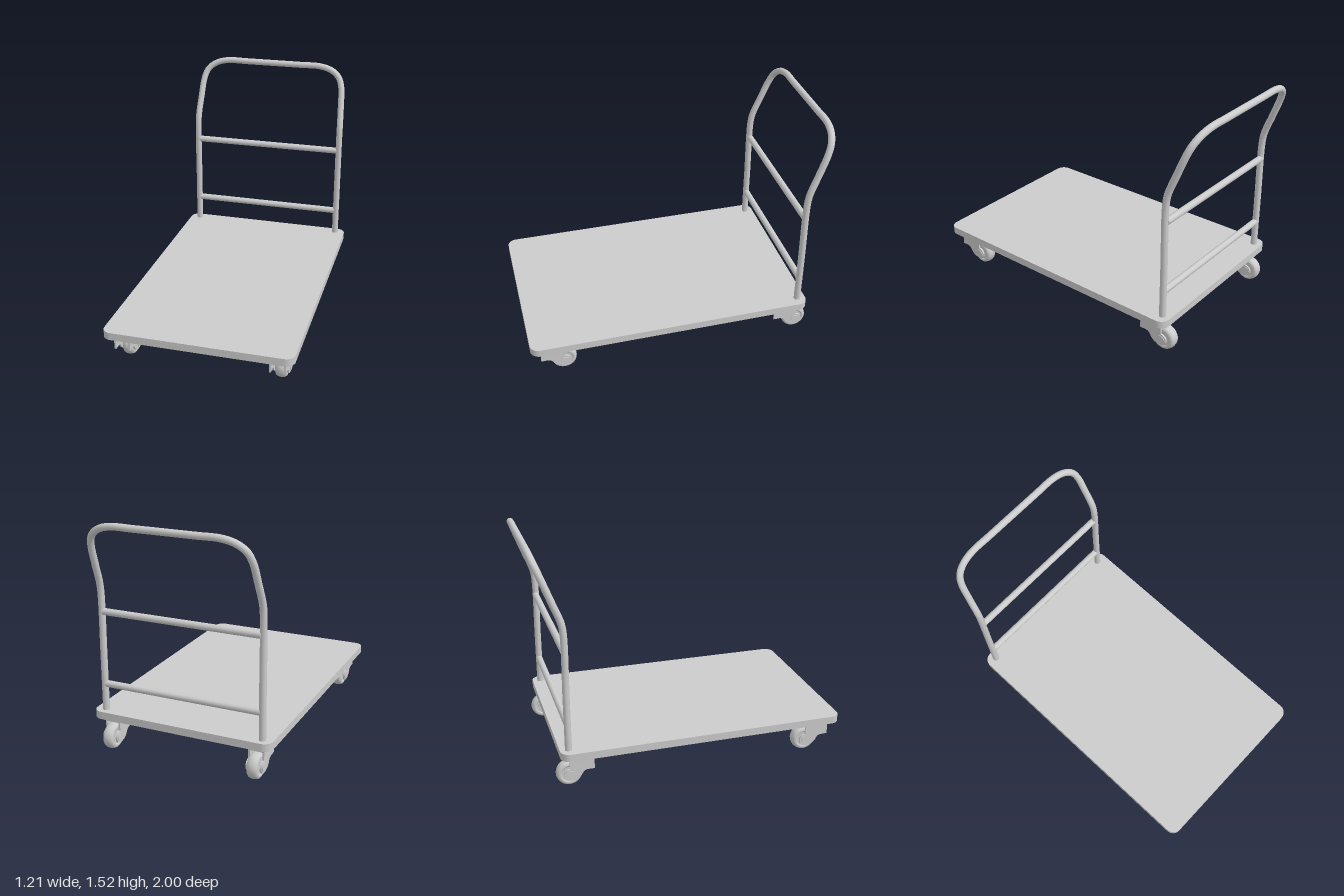
import * as THREE from 'three';
import { toCreasedNormals } from 'three/addons/utils/BufferGeometryUtils.js';

const material = new THREE.MeshStandardMaterial({ color: 0xcccccc });

function part(name, geometry, parent, x = 0, y = 0, z = 0) {
  const mesh = new THREE.Mesh(geometry, material);
  mesh.name = name;
  mesh.position.set(x, y, z);
  parent.add(mesh);
  return mesh;
}

// Cylinder lying along x
const rod = (radius, length, sides = 24) =>
  new THREE.CylinderGeometry(radius, radius, length, sides).rotateZ(Math.PI / 2);

// Flat deck with rounded corners
function deckGeometry() {
  const w = 0.605, front = 1, back = -0.87, r = 0.06;
  const s = new THREE.Shape();
  s.absarc(w - r, front - r, r, 0, Math.PI / 2);
  s.absarc(-w + r, front - r, r, Math.PI / 2, Math.PI);
  s.absarc(-w + r, back + r, r, Math.PI, Math.PI * 1.5);
  s.absarc(w - r, back + r, r, Math.PI * 1.5, Math.PI * 2);
  const g = new THREE.ExtrudeGeometry(s, { depth: 0.05, bevelEnabled: false, curveSegments: 8 });
  return toCreasedNormals(g.rotateX(Math.PI / 2).translate(0, 0.26, 0), 0.6);
}

// Bent handle tube: upright posts, then an upper hoop leaning backwards
const POST_X = 0.536, POST_Z = -0.815;
function handleGeometry() {
  const lean = (y) => POST_Z - Math.max(0, y - 1.07) * 0.381;
  const half = [
    [POST_X, 0.25], [POST_X, 0.6], [POST_X, 1.03], [0.535, 1.1], [0.528, 1.23], [0.517, 1.36],
    [0.492, 1.424], [0.436, 1.468], [0.35, 1.491], [0.2, 1.492],
  ].map(([x, y]) => new THREE.Vector3(x, y, lean(y)));
  const mirrored = half.map((p) => new THREE.Vector3(-p.x, p.y, p.z)).reverse();
  const curve = new THREE.CatmullRomCurve3([...half, ...mirrored]);
  return new THREE.TubeGeometry(curve, 120, 0.022, 16);
}

// Wheel with a rounded tread and a slightly recessed hub
function wheelGeometry() {
  const profile = [
    [0, -0.03], [0.05, -0.03], [0.054, -0.034], [0.062, -0.036], [0.07, -0.033], [0.077, -0.026],
    [0.081, -0.014], [0.083, 0], [0.081, 0.014], [0.077, 0.026], [0.07, 0.033], [0.062, 0.036],
    [0.054, 0.034], [0.05, 0.03], [0, 0.03],
  ].map(([r, y]) => new THREE.Vector2(r, y));
  return toCreasedNormals(new THREE.LatheGeometry(profile, 32).rotateZ(Math.PI / 2), 0.7);
}

// Fork cheek, drawn in the z-y plane with z = 0 at the axle
function cheekGeometry() {
  const s = new THREE.Shape();
  s.moveTo(0.156, 0.2);
  s.lineTo(0, 0.2);
  s.lineTo(0, 0.125);
  s.absarc(0, 0.083, 0.04, Math.PI / 2, Math.PI * 1.5);
  s.quadraticCurveTo(0.055, 0.045, 0.075, 0.08);
  s.quadraticCurveTo(0.088, 0.11, 0.115, 0.11);
  s.lineTo(0.156, 0.11);
  const g = new THREE.ExtrudeGeometry(s, { depth: 0.012, bevelEnabled: false, curveSegments: 12 });
  return toCreasedNormals(g.translate(0, 0, -0.006).rotateY(-Math.PI / 2), 0.6);
}

function createCaster(name) {
  const caster = new THREE.Group();
  caster.name = name;
  part('wheel', wheelGeometry(), caster, 0, 0.083, 0);
  part('axle', rod(0.012, 0.1, 16), caster, 0, 0.083, 0);
  part('forkTop', new THREE.BoxGeometry(0.104, 0.025, 0.156), caster, 0, 0.1875, 0.078);
  part('swivel', new THREE.CylinderGeometry(0.051, 0.051, 0.02, 32), caster, 0, 0.204, 0.088);
  for (const side of [-1, 1]) {
    part('forkCheek', cheekGeometry(), caster, side * 0.046, 0, 0);
    part('axleCap', rod(0.03, 0.008), caster, side * 0.052, 0.083, 0);
  }
  return caster;
}

export function createModel() {
  const cart = new THREE.Group();
  cart.name = 'platformCart';

  part('deck', deckGeometry(), cart);
  part('handle', handleGeometry(), cart);

  // Cross rails between the posts
  for (const y of [0.436, 0.912]) part('crossRail', rod(0.022, POST_X * 2 - 0.02, 16), cart, 0, y, POST_Z);

  // Four casters, all trailing the same way
  for (const [end, z] of [['front', 0.78], ['back', -0.812]]) {
    for (const [side, x] of [['Left', 0.495], ['Right', -0.495]]) {
      const caster = createCaster(`${end}${side}Caster`);
      caster.position.set(x, 0, z);
      cart.add(caster);
    }
  }
  return cart;
}
